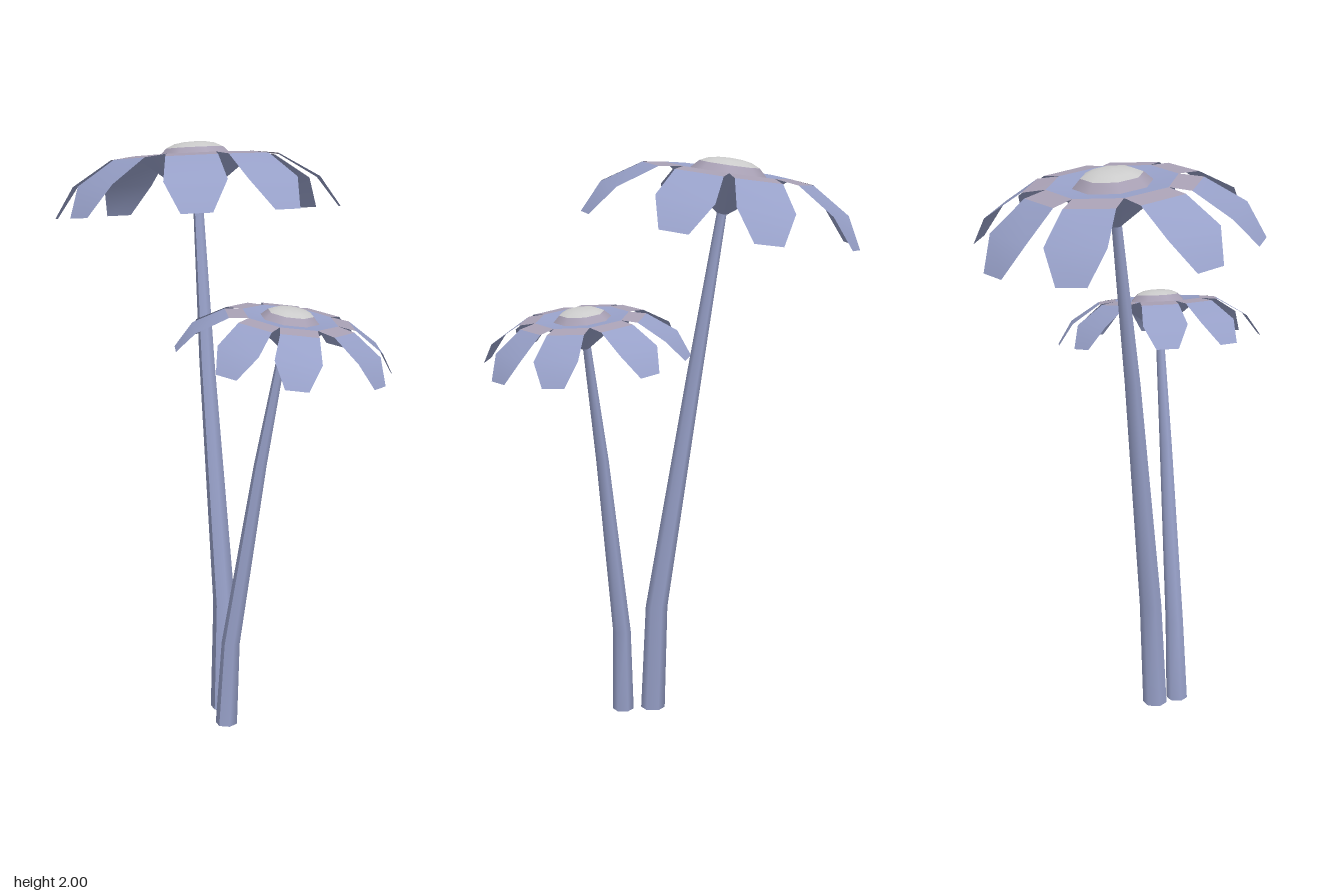
import * as THREE from 'three';

const DEG = Math.PI / 180;
const mat = (color) => new THREE.MeshStandardMaterial({ color, side: THREE.DoubleSide });
const blue = mat(0x97a0c8);
const mauve = mat(0xa8a0b4);
const grey = mat(0xcccccc);

function mesh(name, geometry, material) {
  const m = new THREE.Mesh(geometry, material);
  m.name = name;
  return m;
}

// Strip along +x from rows of [radius, height, half width, turn in degrees]
function strip(rows) {
  const pos = [], index = [];
  rows.forEach(([r, y, w, turn], i) => {
    const c = Math.cos(turn * DEG), s = Math.sin(turn * DEG);
    for (const z of [-w, w]) pos.push(r * c - z * s, y, r * s + z * c);
    if (i) {
      const a = 2 * i - 2;
      index.push(a, a + 1, a + 2, a + 1, a + 3, a + 2);
    }
  });
  const g = new THREE.BufferGeometry();
  g.setAttribute('position', new THREE.Float32BufferAttribute(pos, 3));
  g.setIndex(index);
  g.computeVertexNormals();
  return g;
}

// Eight-sided turned part whose corners meet the petal roots
const turned = (points) => new THREE.LatheGeometry(
  points.map(([r, y]) => new THREE.Vector2(r, y)), 8, 15 * DEG);

function flowerHead(center, normal, spin, scale) {
  const head = new THREE.Group();
  head.name = 'flowerHead';
  head.add(
    mesh('centerDome', turned([[0.105, 0.022], [0.075, 0.036], [0.04, 0.042], [0, 0.044]]), grey),
    mesh('centerRim', turned([[0.135, -0.008], [0.105, 0.022]]), mauve),
    mesh('disc', turned([[0.22, 0], [0.135, -0.008]]), blue),
    mesh('calyx', turned([[0.017, -0.15], [0.22, -0.001]]), blue));

  // Petals, each turned slightly toward its neighbour in pairs
  for (let i = 0; i < 8; i++) {
    const t = i % 2 ? -4 : 4;
    const petal = new THREE.Group();
    petal.name = 'petal';
    petal.rotation.y = (82.5 - 45 * i) * DEG;
    petal.add(
      mesh('petalRoot', strip([[0.203, 0, 0.084, 0], [0.285, -0.01, 0.087, t / 2]]), mauve),
      mesh('petalBlade', strip([
        [0.285, -0.01, 0.087, t / 2], [0.42, -0.095, 0.104, t], [0.49, -0.2, 0.052, t]]), blue));
    head.add(petal);
  }
  head.position.set(...center);
  head.quaternion.setFromUnitVectors(
    new THREE.Vector3(0, 1, 0), new THREE.Vector3(...normal).normalize());
  head.rotateY(-spin * DEG);
  head.scale.setScalar(scale);
  return head;
}

// Six-sided stem through rings of [x, y, z, radius], closed at both ends
function stem(rings) {
  const n = 6;
  const g = new THREE.CylinderGeometry(1, 1, 1, n, rings.length - 1);
  const p = g.attributes.position, uv = g.attributes.uv;
  const side = (n + 1) * rings.length;
  for (let i = 0; i < p.count; i++) {
    const level = i < side ? Math.round(uv.getY(i) * (rings.length - 1))
      : p.getY(i) > 0 ? rings.length - 1 : 0;
    const [x, y, z, r] = rings[level];
    p.setXYZ(i, x + p.getX(i) * r, y, z + p.getZ(i) * r);
  }
  g.computeVertexNormals();
  return mesh('stem', g, blue);
}

export function createModel() {
  const model = new THREE.Group();
  model.name = 'flowers';

  const tall = new THREE.Group();
  tall.name = 'tallFlower';
  tall.add(
    stem([[0.037, 0.015, 0.105, 0.043], [0.03, 0.4, 0.088, 0.039],
      [-0.095, 1.25, 0.033, 0.027], [-0.178, 1.83, -0.015, 0.017]]),
    flowerHead([-0.195, 1.955, -0.025], [-0.12, 1, -0.07], 0, 1));

  const short = new THREE.Group();
  short.name = 'shortFlower';
  short.add(
    stem([[0.12, 0, 0.18, 0.038], [0.13, 0.3, 0.168, 0.032],
      [0.225, 0.95, 0.125, 0.022], [0.298, 1.37, 0.094, 0.014]]),
    flowerHead([0.318, 1.465, 0.085], [0.127, 1, -0.06], 32.5, 0.74));

  model.add(tall, short);
  return model;
}
